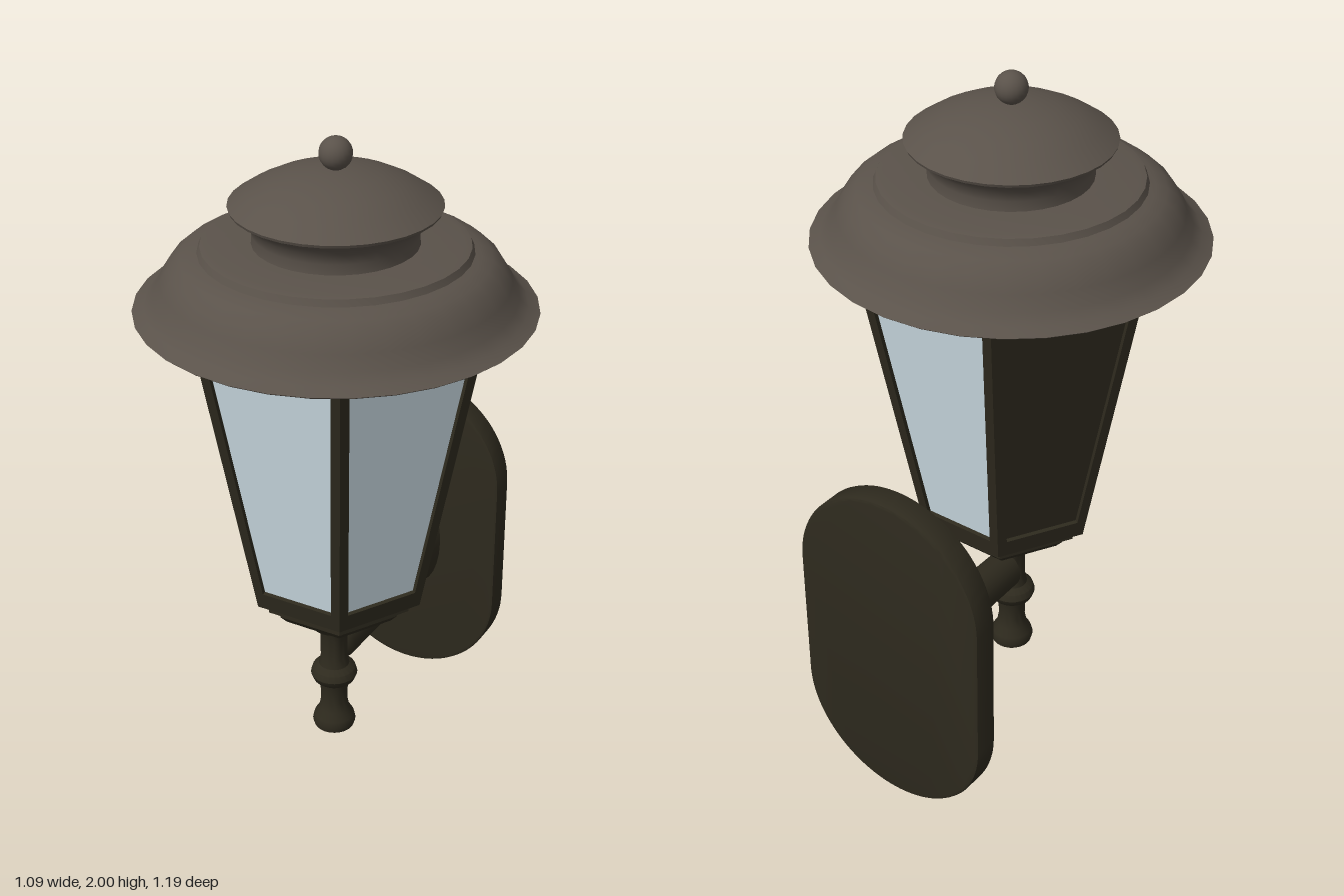
import * as THREE from 'three';
import { toCreasedNormals } from 'three/addons/utils/BufferGeometryUtils.js';

const DARK = 0x2e2a1e, ROOF = 0x5a524a, GLASS = 0xcfe0e8;

function material(color, flatShading = false) {
  const m = new THREE.MeshStandardMaterial({ color, flatShading });
  m.side = THREE.DoubleSide;
  return m;
}

function part(name, geometry, mat, x = 0, y = 0, z = 0) {
  const mesh = new THREE.Mesh(geometry, mat);
  mesh.name = name;
  mesh.position.set(x, y, z);
  return mesh;
}

// Profile points run from bottom to top so the surface faces outward
function turned(points, segments, phiStart = 0) {
  const g = new THREE.LatheGeometry(points.map(p => new THREE.Vector2(...p)), segments, phiStart);
  return toCreasedNormals(g, 0.65);
}

function trapezoid(y0, w0, y1, w1) {
  return [[-w0, y0], [w0, y0], [w1, y1], [-w1, y1]].map(p => new THREE.Vector2(...p));
}

// Bracket arm: ellipses lofted along z, each [z, centre y, half width, half height]
function loft(sections, sides) {
  const pos = [], index = [], n = sides;
  for (const [z, cy, rx, ry] of sections) {
    for (let i = 0; i < n; i++) {
      const a = (i / n) * Math.PI * 2;
      pos.push(rx * Math.cos(a), cy + ry * Math.sin(a), z);
    }
  }
  for (let s = 0; s < sections.length - 1; s++) {
    for (let i = 0; i < n; i++) {
      const a = s * n + i, b = s * n + (i + 1) % n;
      index.push(a, a + n, b, b, a + n, b + n);
    }
  }
  const g = new THREE.BufferGeometry();
  g.setAttribute('position', new THREE.Float32BufferAttribute(pos, 3));
  // Sections run towards -z, so flip the winding to face outward
  for (let i = 0; i < index.length; i += 3) [index[i + 1], index[i + 2]] = [index[i + 2], index[i + 1]];
  g.setIndex(index);
  g.computeVertexNormals();
  return g;
}

export function createModel() {
  const model = new THREE.Group();
  model.name = 'wallLantern';
  const dark = material(DARK), darkFlat = material(DARK, true);
  const roofMat = material(ROOF), glassMat = material(GLASS);

  // Flared roof, neck and domed cap
  const roof = new THREE.Group();
  roof.name = 'roof';
  roof.position.set(0, 0, 0.046);
  roof.add(part('roofShell', turned([
    [0.36, 1.665], [0.42, 1.64], [0.46, 1.585], [0.495, 1.54], [0.54, 1.525],
    [0.546, 1.53], [0.515, 1.545], [0.49, 1.57], [0.47, 1.61], [0.445, 1.65],
    [0.415, 1.675], [0.385, 1.686], [0.368, 1.69], [0.36, 1.708], [0.34, 1.712], [0.2, 1.712],
  ], 32), roofMat));
  roof.add(part('roofCeiling', new THREE.CylinderGeometry(0.37, 0.37, 0.02, 32), roofMat, 0, 1.67));
  roof.add(part('roofCap', turned([
    [0.225, 1.705], [0.222, 1.74], [0.232, 1.77], [0.25, 1.79], [0.282, 1.81], [0.285, 1.818],
    [0.235, 1.852], [0.18, 1.88], [0.12, 1.9], [0.06, 1.911], [0, 1.914],
  ], 32), roofMat));
  roof.add(part('topBall', new THREE.SphereGeometry(0.045, 20, 14), roofMat, 0, 1.955));
  model.add(roof);

  // Six-sided tapered lantern
  const lantern = new THREE.Group();
  lantern.name = 'lantern';
  lantern.position.set(-0.003, 0, 0.032);
  const y0 = 0.635, y1 = 1.535, r0 = 0.267, r1 = 0.443, c30 = Math.cos(Math.PI / 6);
  const run = (r1 - r0) * c30, slant = Math.hypot(y1 - y0, run);
  const widthAt = y => (r0 + (r1 - r0) * y / slant) / 2;
  const lo = 0.055, hi = slant - 0.02, post = 0.028;
  const opening = trapezoid(lo, widthAt(lo) - post, hi, widthAt(hi) - post);
  const frameShape = new THREE.Shape(trapezoid(0, widthAt(0), slant, widthAt(slant)));
  frameShape.holes.push(new THREE.Path(opening));
  const frameGeo = new THREE.ExtrudeGeometry(frameShape, { depth: 0.03, bevelEnabled: false });
  const paneGeo = new THREE.ShapeGeometry(new THREE.Shape(opening));
  for (let k = 0; k < 6; k++) {
    const side = new THREE.Group(), tilt = new THREE.Group();
    side.name = 'lanternSide';
    side.rotation.y = k * Math.PI / 3;
    tilt.position.set(0, y0, r0 * c30);
    tilt.rotation.x = Math.atan2(run, y1 - y0);
    tilt.add(part('sideFrame', frameGeo, darkFlat, 0, 0, -0.03));
    // One rear side is a solid metal panel
    tilt.add(k === 4 ? part('solidPanel', paneGeo, dark, 0, 0, -0.012)
      : part('glassPane', paneGeo, glassMat, 0, 0, -0.012));
    side.add(tilt);
    lantern.add(side);
  }
  lantern.add(part('lanternCollar',
    new THREE.CylinderGeometry(0.4, 0.42, 0.14, 6, 1, false, Math.PI / 6), darkFlat, 0, 1.595));

  // Stepped six-sided base under the glass
  lantern.add(part('lanternBase', turned([
    [0, 0.525], [0.11, 0.525], [0.145, 0.535], [0.175, 0.55], [0.195, 0.572], [0.195, 0.602],
    [0.232, 0.602], [0.232, 0.637], [0.264, 0.637], [0, 0.64],
  ], 6, Math.PI / 6), darkFlat));
  model.add(lantern);

  // Turned stem with bead and lower knob
  model.add(part('stem', turned([
    [0, 0.105], [0.04, 0.108], [0.06, 0.118], [0.065, 0.135], [0.06, 0.155], [0.046, 0.178],
    [0.04, 0.21], [0.041, 0.25], [0.046, 0.275], [0.062, 0.288], [0.07, 0.308], [0.064, 0.328],
    [0.046, 0.342], [0.04, 0.37], [0.04, 0.44], [0.047, 0.47], [0.068, 0.482], [0.077, 0.5],
    [0.075, 0.515], [0.06, 0.53],
  ], 24), dark, -0.015, 0, 0.037));

  // Bracket arm flaring into the wall plate
  model.add(part('bracketArm', loft([
    [0.02, 0.405, 0.035, 0.045], [0.005, 0.405, 0.055, 0.062], [-0.2, 0.405, 0.058, 0.065],
    [-0.27, 0.411, 0.058, 0.072], [-0.34, 0.422, 0.058, 0.086], [-0.4, 0.435, 0.06, 0.102],
    [-0.45, 0.449, 0.062, 0.12], [-0.49, 0.465, 0.066, 0.142], [-0.525, 0.483, 0.075, 0.168],
  ], 24), dark, -0.014));

  // Wall plate with rounded ends
  const r = 0.305, b = 0.008, plate = new THREE.Shape();
  plate.absarc(0, 1.02 - r, r - b, 0, Math.PI);
  plate.absarc(0, r, r - b, Math.PI, Math.PI * 2);
  plate.closePath();
  const plateGeo = new THREE.ExtrudeGeometry(plate, {
    depth: 0.078 - 2 * b, bevelSize: b, bevelThickness: b, bevelSegments: 2, curveSegments: 24,
  });
  model.add(part('wallPlate', toCreasedNormals(plateGeo, 0.5), dark, -0.055, 0, -0.597 + b));

  return model;
}
